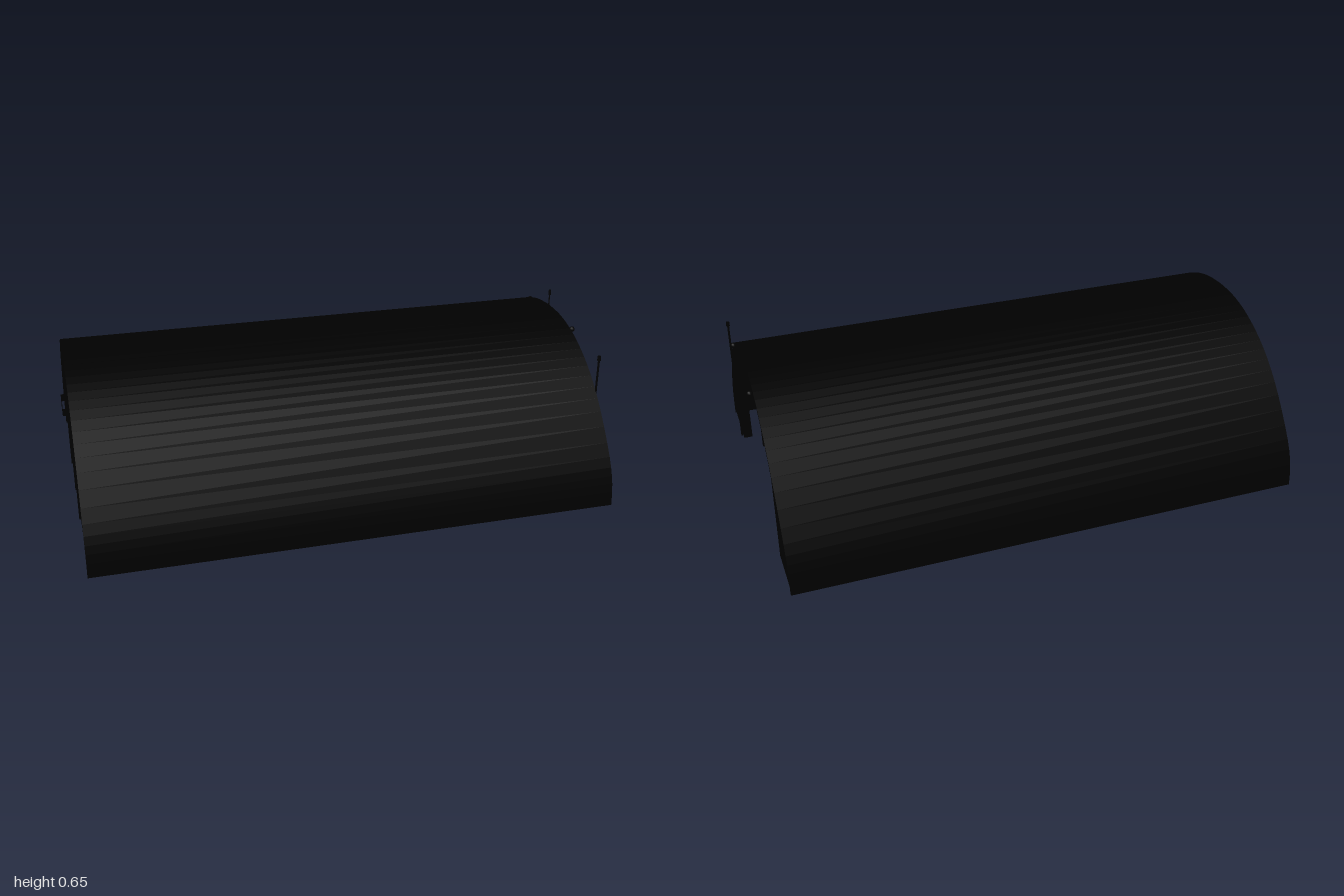
import * as THREE from 'three';

export function createModel() {
  const group = new THREE.Group();
  const black = new THREE.MeshStandardMaterial({ color: 0x000000, side: THREE.DoubleSide });
  black.name = 'black';

  function add(name, geometry, x = 0, y = 0, z = 0) {
    const mesh = new THREE.Mesh(geometry, black);
    mesh.name = name;
    mesh.position.set(x, y, z);
    group.add(mesh);
    return mesh;
  }
  const box = (name, w, h, d, x, y, z) => add(name, new THREE.BoxGeometry(w, h, d), x, y, z);
  const rod = (name, r, h, x, y, z) => add(name, new THREE.CylinderGeometry(r, r, h, 8), x, y, z);

  // Extrudes an outline of [z, y] points along x, from x0 to x1
  function slab(name, points, x0, x1) {
    const shape = new THREE.Shape(points.map(([z, y]) => new THREE.Vector2(z, y)));
    const geo = new THREE.ExtrudeGeometry(shape, { depth: x1 - x0, bevelEnabled: false });
    geo.rotateY(-Math.PI / 2);
    geo.translate(x1, 0, 0);
    return add(name, geo);
  }

  // Mirrors a half outline (from +z towards the middle) into a full one
  const full = (pts) => [...pts, ...pts.slice().reverse().filter(([z]) => z > 0).map(([z, y]) => [-z, y])];
  const scaled = (pts, sz, sy) => pts.map(([z, y]) => [z * sz, y * sy]);
  const ring = (outer, inner) => [...outer, ...inner.slice().reverse()];

  // Smooth vault profile from the ground to the crown
  const guide = [[0.65, 0], [0.64, 0.085], [0.6, 0.18], [0.5, 0.325], [0.4, 0.433],
    [0.3, 0.506], [0.2, 0.555], [0.1, 0.582], [0, 0.59]];
  const curve = new THREE.SplineCurve(guide.map(([z, y]) => new THREE.Vector2(z, y)));
  const half = curve.getPoints(24).map((p, i) => [i === 24 ? 0 : p.x, p.y]);
  const arch = full(half);
  const lining = scaled(arch, 0.985, 0.975);

  // Vaulted shell
  slab('vaultShell', ring(arch, lining), -0.985, 0.978);

  // Closed rear end, with a double door framed on both faces
  slab('rearWall', lining, -0.98, -0.955);
  const innerDoor = full([[0.3, 0], [0.3, 0.2], [0.19, 0.3]]);
  const outerDoor = full([[0.24, 0], [0.24, 0.3]]);
  for (const [outline, x] of [[outerDoor, -0.986], [innerDoor, -0.955]]) {
    slab('doorFrame', ring(outline, scaled(outline, 0.96, 0.96)), x, x + 0.007);
    box('doorSeam', 0.006, 0.29, 0.008, x + 0.0035, 0.145, 0);
  }

  // Outer entrance wall with a tall chamfered opening
  const opening = full([[0.42, 0], [0.42, 0.375], [0.3, 0.46], [0.15, 0.52]]);
  slab('outerPortal', ring(lining, opening), 0.94, 0.974);

  // Inner entrance wall with a stepped opening, narrower above
  const stepped = full([[0.42, 0], [0.42, 0.3], [0.15, 0.3], [0.15, 0.52]]);
  slab('innerPortal', ring(lining, stepped), 0.79, 0.81);

  // Panels and ceiling of the upper recess between the two walls
  for (const z of [0.15, -0.15]) box('hangingPanel', 0.15, 0.23, 0.008, 0.885, 0.415, z);
  box('recessCeiling', 0.14, 0.008, 0.3, 0.875, 0.526, 0);

  // Low crates along the left wall and a post in the middle
  for (const x of [0.4, 0.55, 0.7]) box('crate', 0.08, 0.035, 0.05, x, 0.0175, 0.54);
  rod('floorPost', 0.003, 0.18, -0.02, 0.09, -0.09);

  // Lamps above the entrance
  for (const z of [0.195, -0.195]) {
    box('lampArm', 0.025, 0.008, 0.008, 0.982, 0.545, z);
    add('lamp', new THREE.SphereGeometry(0.011, 10, 8), 0.989, 0.549, z);
  }

  // Aerials
  rod('crownAerial', 0.0025, 0.13, 0.979, 0.58, 0);
  rod('crownAerialTip', 0.005, 0.02, 0.979, 0.641, 0);
  rod('sideMast', 0.004, 0.52, 0.979, 0.26, 0.445);
  rod('sideMastTip', 0.007, 0.018, 0.979, 0.521, 0.445);

  // Hollow vent hood on the rear wall, open at its sides
  box('ventCover', 0.002, 0.07, 0.07, -0.999, 0.165, -0.455);
  for (const y of [0.131, 0.199]) box('ventPlate', 0.018, 0.002, 0.07, -0.991, y, -0.455);

  return group;
}
